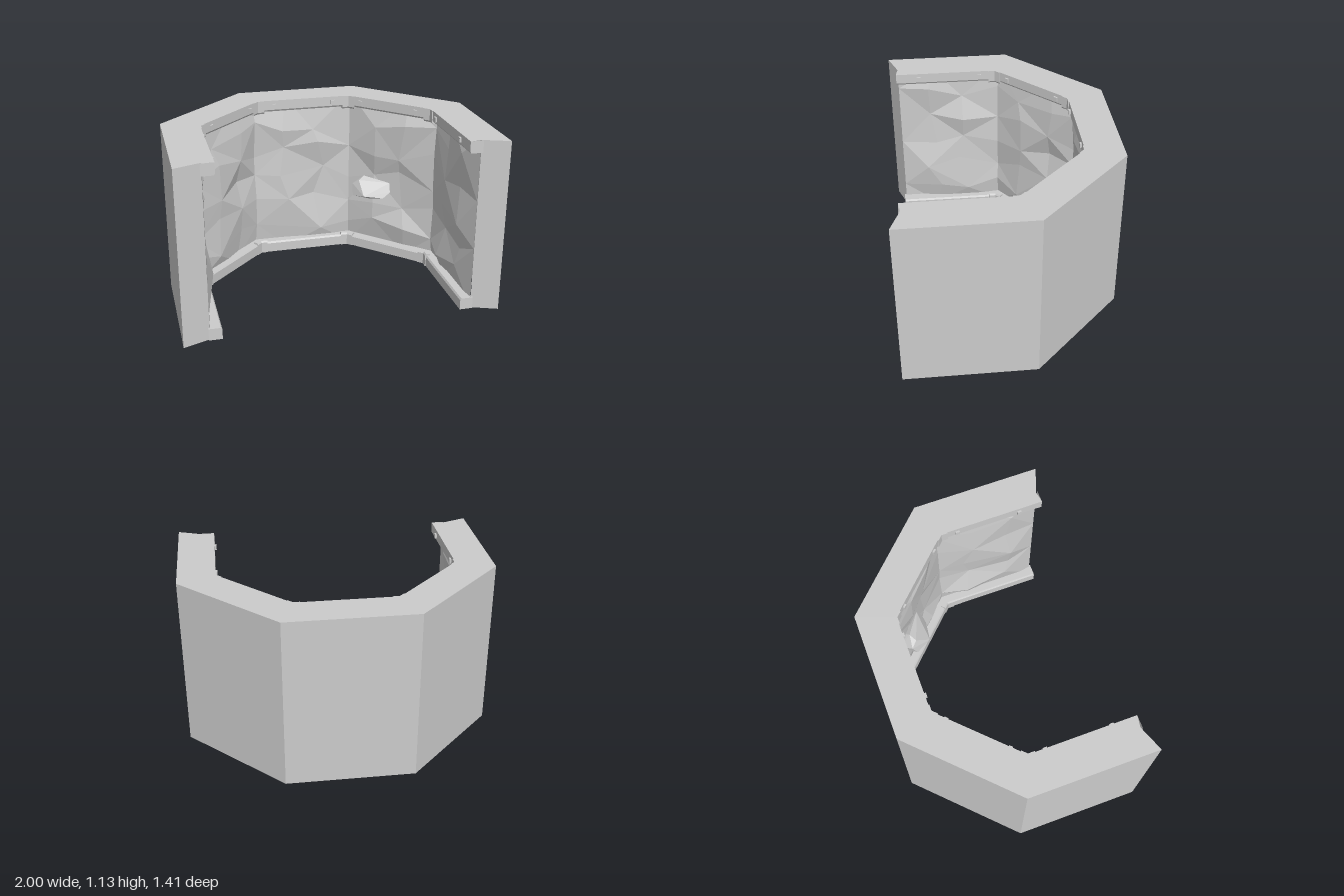
import * as THREE from 'three';
import { ConvexGeometry } from 'three/addons/geometries/ConvexGeometry.js';

const H = 1.13, T = Math.tan(Math.PI / 8);
const material = new THREE.MeshStandardMaterial({ color: 0xcccccc, flatShading: true, side: THREE.DoubleSide });

// Plan of the half-octagon niche, offset outwards by o from the inner rail face
function plan(o, front = 0.655) {
  const half = [[0.76 + o, front], [0.76 + o, -0.03 - o * T], [0.32 + o * T, -0.47 - o]];
  return [...half, ...half.map(([x, z]) => [-x, z]).reverse()];
}

// Faceted open surface through columns of [x, y, z] points; hubs close the two ends with fans
function surface(cols, hubs) {
  const pos = [], rows = cols[0].length;
  const tri = (...pts) => pts.forEach((p) => pos.push(...p));
  for (let i = 0; i < cols.length - 1; i++) {
    for (let j = 0; j < rows - 1; j++) {
      const a = cols[i][j], b = cols[i + 1][j], c = cols[i + 1][j + 1], d = cols[i][j + 1];
      if ((i + j) % 2) { tri(a, d, b); tri(d, c, b); }
      else { tri(a, d, c); tri(a, c, b); }
    }
  }
  if (hubs) {
    const s = cols[0], e = cols[cols.length - 1];
    for (let j = 0; j < rows - 1; j++) {
      tri(hubs[0], s[j + 1], s[j]);
      tri(hubs[1], e[j], e[j + 1]);
    }
  }
  const g = new THREE.BufferGeometry();
  g.setAttribute('position', new THREE.Float32BufferAttribute(pos, 3));
  g.computeVertexNormals();
  return g;
}

// Hollow bevelled rail along a path given as a function of offset, flipped for the top
function rail(path, face, height, depth, top) {
  let section = [[face + 0.006, 0], [face, 0], [face, height - 0.012], [face + 0.008, height], [depth, height]];
  if (top) section = section.map(([o, y]) => [o, H - y]).reverse();
  const lines = section.map(([o]) => path(o));
  const cols = lines[0].map((_, i) => section.map(([, y], k) => [lines[k][i][0], y, lines[k][i][1]]));
  const back = path(depth);
  return surface(cols, [back[0], back[back.length - 1]].map(([x, z]) => [x, top ? H : 0, z]));
}

// Short path wrapping around inner corner c
function cornerPath(c) {
  const base = plan(0);
  const ends = [-1, 1].map((side) => {
    const dx = base[c + side][0] - base[c][0], dz = base[c + side][1] - base[c][1];
    const l = Math.hypot(dx, dz), ux = dx / l, uz = dz / l;
    return (o) => [base[c][0] + ux * 0.045 - side * uz * o, base[c][1] + uz * 0.045 + side * ux * o];
  });
  return (o) => [ends[0](o), plan(o)[c], ends[1](o)];
}

export function createModel() {
  const group = new THREE.Group();
  const add = (name, geometry) => {
    const m = new THREE.Mesh(geometry, material);
    m.name = name;
    group.add(m);
    return m;
  };
  let seed = 29;
  const rand = () => {
    seed = (seed * 16807) % 2147483647;
    return seed / 2147483647 * 2 - 1;
  };

  // Smooth outer shell with its front ends, open underneath
  const outer = [[-0.835, 0.643], [-1, 0.705], [-1, -0.125], [-0.41, -0.71],
    [0.41, -0.71], [1, -0.125], [1, 0.705], [0.835, 0.643]];
  add('outerWall', surface(outer.map(([x, z]) => [[x, 0, z], [x, H, z]])));

  // Flat top between the shell and the rail face
  const outline = [...outer, ...plan(0.006)];
  const cap = new THREE.ShapeGeometry(new THREE.Shape(outline.map(([x, z]) => new THREE.Vector2(x, -z))));
  add('wallTop', cap.rotateX(-Math.PI / 2).translate(0, H, 0));

  // Rough rock lining
  const steps = 3, rows = 6, cols = [];
  for (let s = 0; s < 5; s++) {
    for (let i = s ? 1 : 0; i <= steps; i++) {
      const corner = i % steps === 0, end = s + i / steps === 0 || s + i / steps === 5;
      const col = [];
      for (let j = 0; j <= rows; j++) {
        const edge = j === 0 || j === rows;
        const o = edge || end ? 0.073 : corner ? 0.05 + rand() * 0.012 : 0.044 + rand() * 0.028;
        const t = i / steps + (corner || edge ? 0 : rand() * 0.09);
        const y = H * j / rows + (edge ? 0 : rand() * 0.055);
        const line = plan(o, 0.643), [ax, az] = line[s], [bx, bz] = line[s + 1];
        col.push([ax + (bx - ax) * t, y, az + (bz - az) * t]);
      }
      cols.push(col);
    }
  }
  add('rockLining', surface(cols));

  // Rails with corner brackets, bottom and top
  for (const top of [false, true]) {
    const prefix = top ? 'top' : 'bottom';
    add(prefix + 'Rail', rail(plan, 0, 0.077, 0.084, top));
    for (let c = 1; c <= 4; c++) {
      add(prefix + 'CornerBracket', rail(cornerPath(c), -0.006, 0.09, 0.03, top));
    }
  }

  // Square bolts on the top rail
  const bolts = [[0.76, 0.5, Math.PI / 2], [0.76, 0.08, Math.PI / 2], [0.682, -0.108, Math.PI / 4],
    [0.388, -0.402, Math.PI / 4], [0.205, -0.47, 0]];
  for (const side of [1, -1]) {
    for (const [x, z, turn] of bolts) {
      const bolt = add('bolt', new THREE.BoxGeometry(0.026, 0.03, 0.024));
      bolt.position.set(side * x, 1.092, z);
      bolt.rotation.y = -side * turn;
    }
  }

  // Rock ledge jutting from the left diagonal wall
  const ledge = [[0.34, 0.5, -0.41], [0.335, 0.42, -0.38], [0.375, 0.535, -0.37], [0.42, 0.555, -0.4],
    [0.385, 0.445, -0.275], [0.44, 0.405, -0.33], [0.52, 0.425, -0.257], [0.53, 0.405, -0.31],
    [0.58, 0.52, -0.3], [0.575, 0.46, -0.27], [0.4, 0.45, -0.48], [0.57, 0.5, -0.33], [0.45, 0.53, -0.43]];
  add('rockLedge', new ConvexGeometry(ledge.map((p) => new THREE.Vector3(...p))));

  return group;
}
